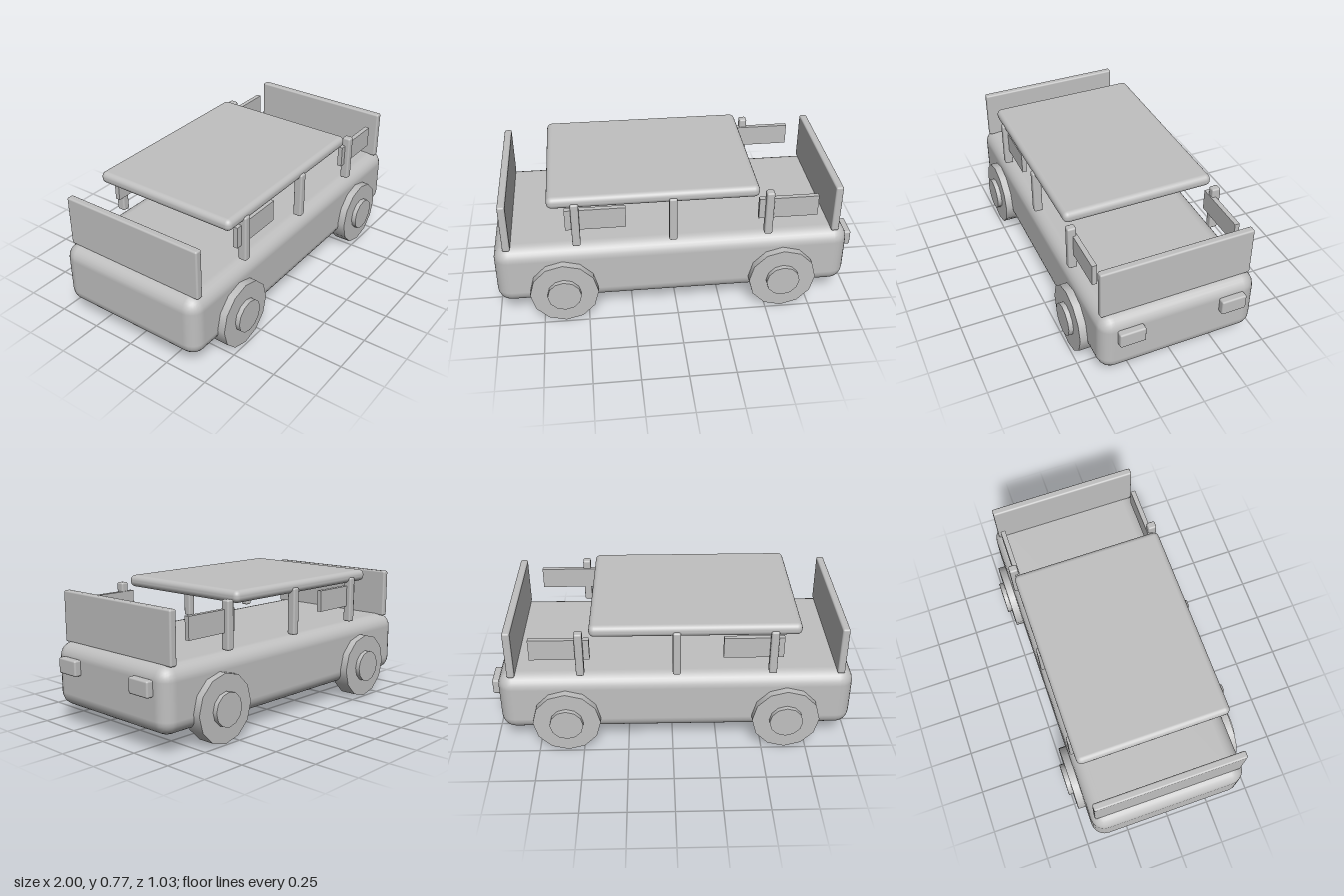
import * as THREE from 'three';
import { RoundedBoxGeometry } from 'three/addons/geometries/RoundedBoxGeometry.js';

export function createModel() {
  const model = new THREE.Group();
  model.name = 'openVan';
  const grey = new THREE.MeshStandardMaterial({ color: 0xc0c0c0 });
  grey.name = 'plain grey';

  const add = (name, geometry, x, y, z) => {
    const mesh = new THREE.Mesh(geometry, grey);
    mesh.name = name;
    mesh.position.set(x, y, z);
    model.add(mesh);
    return mesh;
  };

  // Box given by its limits on each axis, with an optional edge radius
  const box = (name, [x0, x1], [y0, y1], [z0, z1], radius = 0, segments = 3) => {
    const size = [x1 - x0, y1 - y0, z1 - z0];
    const geometry = radius
      ? new RoundedBoxGeometry(...size, segments, radius)
      : new THREE.BoxGeometry(...size);
    return add(name, geometry, (x0 + x1) / 2, (y0 + y1) / 2, (z0 + z1) / 2);
  };

  // Lower body and roof slab
  box('body', [-1, 0.962], [0.1, 0.458], [-0.447, 0.447], 0.08);
  box('roof', [-0.69, 0.446], [0.7, 0.767], [-0.43, 0.43], 0.03);

  // Upright end panels
  box('windshield', [0.861, 0.903], [0.449, 0.732], [-0.426, 0.426], 0.01, 2);
  box('rearPanel', [-0.944, -0.903], [0.449, 0.732], [-0.426, 0.426], 0.01, 2);

  for (const side of [1, -1]) {
    const label = side > 0 ? 'Left' : 'Right';
    const across = (a, b) => (side > 0 ? [a, b] : [-b, -a]);

    // Roof posts
    for (const x of [-0.545, -0.022, 0.502]) {
      box('post' + label, [x - 0.022, x + 0.022], [0.468, 0.732], across(0.394, 0.443), 0.01, 2);
    }

    // Side window plates
    for (const x of [-0.438, 0.61]) {
      box('sidePlate' + label, [x - 0.163, x + 0.163], [0.56, 0.682], across(0.389, 0.416));
    }

    // Headlamps
    box('headlamp' + label, [0.955, 1], [0.301, 0.388], across(0.217, 0.36), 0.01, 2);

    // Wheels with raised hubs
    for (const x of [-0.629, 0.589]) {
      const tyre = new THREE.CylinderGeometry(0.188, 0.188, 0.097, 12).rotateX(Math.PI / 2);
      add('wheel' + label, tyre, x, 0.188, side * 0.4405);
      const hub = new THREE.CylinderGeometry(0.093, 0.093, 0.04, 12).rotateX(Math.PI / 2);
      add('hub' + label, hub, x, 0.188, side * 0.495);
    }
  }
  return model;
}
